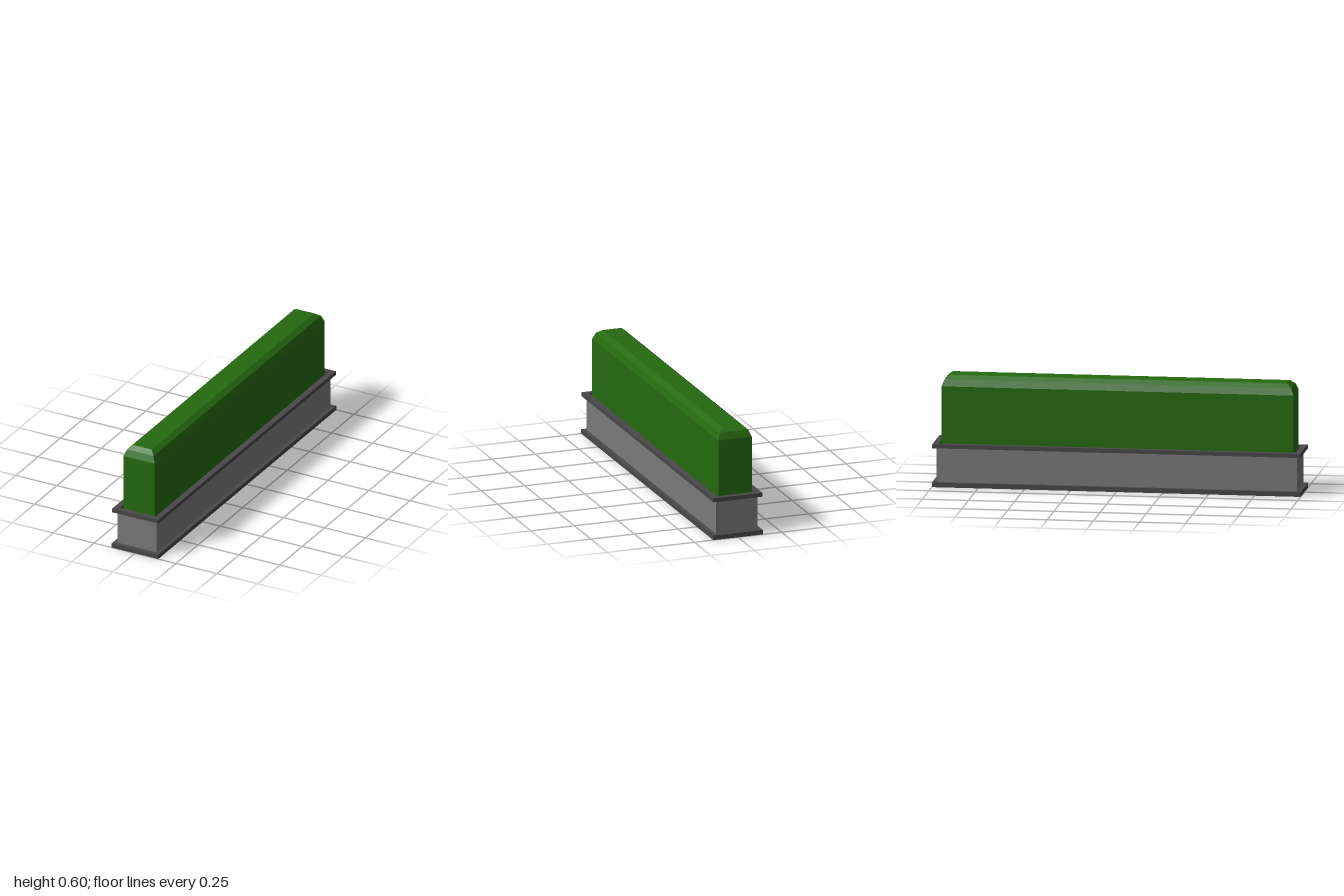
import * as THREE from 'three';

// Closed rectangular solid from stacked rings of [half width, half length, height]
function stackedRings(rings) {
  const corners = [[1, 1], [1, -1], [-1, -1], [-1, 1]];
  const point = (r, c) => {
    const [w, l, y] = rings[r];
    const [sx, sz] = corners[c % 4];
    return [sx * w, y, sz * l];
  };
  const pos = [];
  const quad = (a, b, c, d) => pos.push(...a, ...b, ...c, ...a, ...c, ...d);
  for (let r = 0; r < rings.length - 1; r++) {
    for (let c = 0; c < 4; c++) {
      quad(point(r, c), point(r, c + 1), point(r + 1, c + 1), point(r + 1, c));
    }
  }
  const top = rings.length - 1;
  quad(point(top, 0), point(top, 1), point(top, 2), point(top, 3));
  quad(point(0, 3), point(0, 2), point(0, 1), point(0, 0));
  const geo = new THREE.BufferGeometry();
  geo.setAttribute('position', new THREE.Float32BufferAttribute(pos, 3));
  geo.computeVertexNormals();
  return geo;
}

// Rectangular outline, w and l are half sizes
function rectangle(target, w, l) {
  target.moveTo(-w, -l).lineTo(w, -l).lineTo(w, l).lineTo(-w, l).closePath();
  return target;
}

export function createModel() {
  const model = new THREE.Group();
  model.name = 'hedgePlanter';

  const material = (name, color) => {
    const m = new THREE.MeshStandardMaterial({ color });
    m.name = name;
    return m;
  };
  const leaf = material('leaf green', 0x256a0f);
  const stone = material('stone grey', 0x7a7a7a);
  const trim = material('dark trim', 0x484848);

  const add = (name, geo, mat, y = 0) => {
    const mesh = new THREE.Mesh(geo, mat);
    mesh.name = name;
    mesh.position.y = y;
    model.add(mesh);
  };

  // Foot plate and planter body
  add('base', new THREE.BoxGeometry(0.284, 0.025, 2), trim, 0.0125);
  add('planterBody', new THREE.BoxGeometry(0.238, 0.187, 1.956), stone, 0.1185);

  // Open rim frame around the hedge
  const frame = rectangle(new THREE.Shape(), 0.141, 0.998);
  frame.holes.push(rectangle(new THREE.Path(), 0.108, 0.966));
  const rim = new THREE.ExtrudeGeometry(frame, { depth: 0.022, bevelEnabled: false });
  rim.rotateX(-Math.PI / 2);
  add('rim', rim, trim, 0.212);

  // Clipped hedge with two bevel steps around the top
  const hedge = [[0, 0.212], [0, 0.543], [0.015, 0.58], [0.042, 0.6]]
    .map(([inset, y]) => [0.096 - inset, 0.955 - inset, y]);
  add('hedge', stackedRings(hedge), leaf);

  return model;
}
